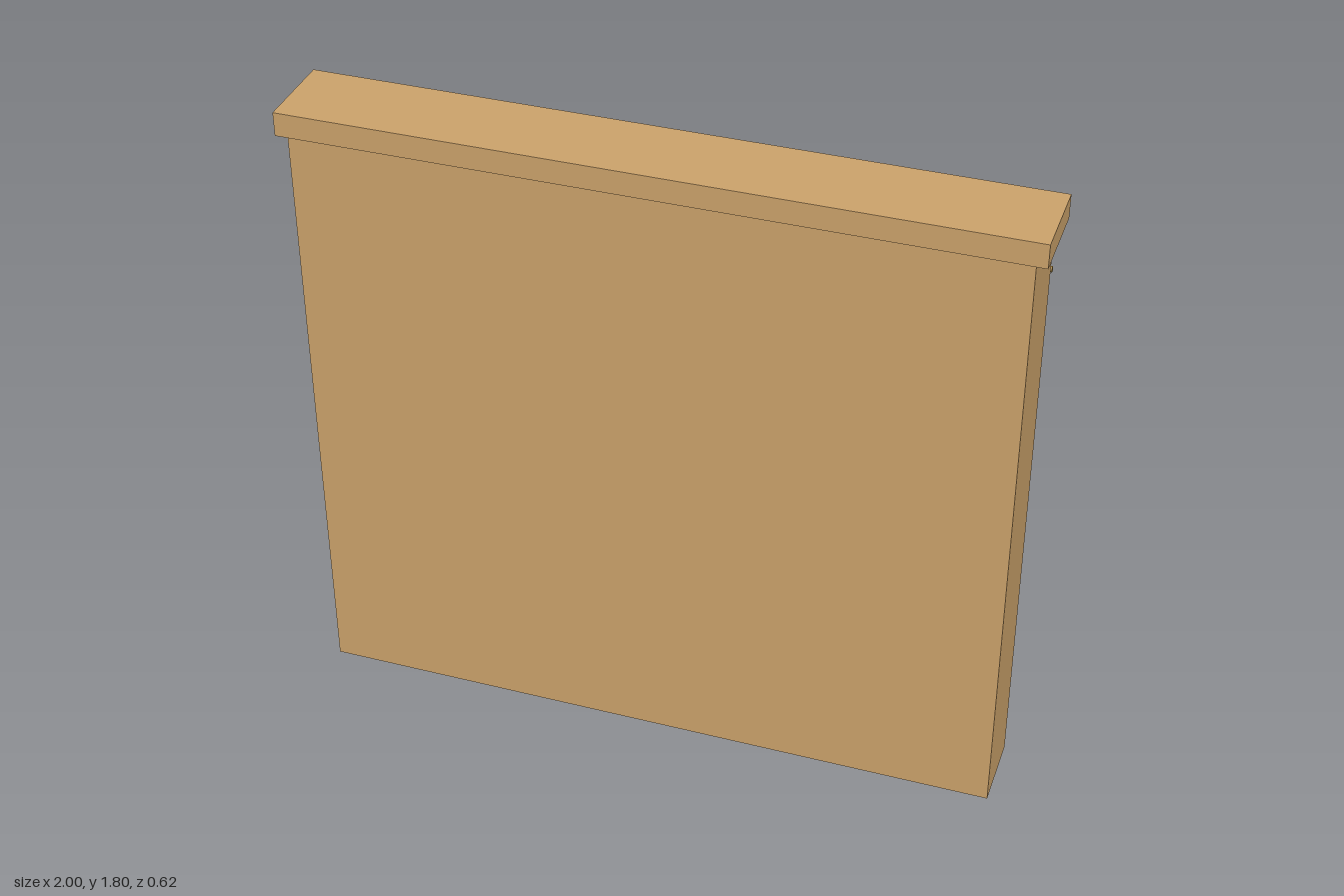
import * as THREE from 'three';

const mat = (name, color) => {
  const m = new THREE.MeshStandardMaterial({ color });
  m.name = name;
  return m;
};

export function createModel() {
  const wood = mat('oak', 0xcca36b);
  const darkWood = mat('dark wood', 0x553722);
  const brass = mat('brass', 0xa8853f);
  const bookMats = [
    mat('green cover', 0x2f6540), mat('red cover', 0x97202a), mat('blue cover', 0x37558c),
    mat('tan cover', 0xcca36b), mat('black cover', 0x060606),
  ];
  const model = new THREE.Group();
  model.name = 'libraryBookcase';

  // Box given by its lowest and highest corners
  const box = (parent, name, m, x0, x1, y0, y1, z0, z1) => {
    const mesh = new THREE.Mesh(new THREE.BoxGeometry(x1 - x0, y1 - y0, z1 - z0), m);
    mesh.position.set((x0 + x1) / 2, (y0 + y1) / 2, (z0 + z1) / 2);
    mesh.name = name;
    parent.add(mesh);
  };
  // Round bar between two points
  const bar = (parent, name, m, a, b, r) => {
    const dir = b.clone().sub(a);
    const mesh = new THREE.Mesh(new THREE.CylinderGeometry(r, r, dir.length(), 10), m);
    mesh.position.copy(a).add(b).multiplyScalar(0.5);
    mesh.quaternion.setFromUnitVectors(new THREE.Vector3(0, 1, 0), dir.normalize());
    mesh.name = name;
    parent.add(mesh);
  };

  // Carcass, open towards -z
  const W = 0.97, T = 0.035, zF = 0.084, zB = 0.3, top = 1.73;
  const carcass = new THREE.Group();
  carcass.name = 'carcass';
  model.add(carcass);
  box(carcass, 'crown', wood, -1, 1, top, 1.797, 0.068, 0.311);
  box(carcass, 'backPanel', wood, -W, W, 0, top, zB - 0.02, zB);
  box(carcass, 'plinth', wood, -W + T, W - T, 0, 0.045, zF, zB - 0.02);
  box(carcass, 'topBoard', wood, -W + T, W - T, 1.7, top, zF, zB - 0.02);
  const pitch = (2 * W - T) / 3;
  for (let i = 0; i < 4; i++) {
    const x = -W + i * pitch;
    box(carcass, i % 3 ? 'divider' : 'sidePanel', wood, x, x + T, 0, top, zF, zB - 0.02);
  }

  // Shelves and books; bays run from +x to -x, rows from top to bottom
  const rowH = 0.206, perRow = 20;
  const firstColour = [
    [0.4, 2, 3, 4, 0, 1, 2, 2.4],
    [1.2, 2.2, 3, 4, 0, 1, 2, 2.3],
    [1, 2, 3, 4, 0, 1, 2, 2.8],
  ];
  let seed = 7;
  const rand = () => (seed = (seed * 16807) % 2147483647) / 2147483647;
  const books = new THREE.Group();
  books.name = 'books';
  model.add(books);
  firstColour.forEach((rows, bay) => {
    const xR = W - T - bay * pitch, xL = xR - pitch + T;
    const step = (xR - xL - 0.015) / perRow;
    rows.forEach((start, row) => {
      const y = 0.08 + (7 - row) * rowH;
      box(carcass, 'shelf', wood, xL, xR, y - 0.02, y, zF + 0.003, zB - 0.02);
      for (let i = 0; i < perRow; i++) {
        const x = xR - 0.01 - i * step;
        const m = bookMats[Math.floor(start + i / 4.2) % 5];
        box(books, 'book', m, x - step + 0.002, x, y, y + 0.144 + 0.024 * rand(),
          0.138 + 0.008 * rand(), 0.275);
      }
    });
  });

  // Rail for the ladder
  const V = (x, y, z) => new THREE.Vector3(x, y, z);
  bar(model, 'ladderRail', brass, V(-W, 1.57, 0.056), V(W, 1.57, 0.056), 0.008);

  // Leaning ladder
  const ladder = new THREE.Group();
  ladder.name = 'ladder';
  model.add(ladder);
  const foot = (x) => V(x, 0.032, -0.298), head = (x) => V(x, 1.572, 0.054);
  const xs = [0.43, 0.646];
  xs.forEach((x) => bar(ladder, 'ladderStile', darkWood, foot(x), head(x), 0.01));
  for (let i = 1; i <= 9; i++) {
    const [a, b] = xs.map((x) => foot(x).lerp(head(x), i / 10));
    bar(ladder, 'ladderRung', darkWood, a, b, 0.006);
  }
  return model;
}
